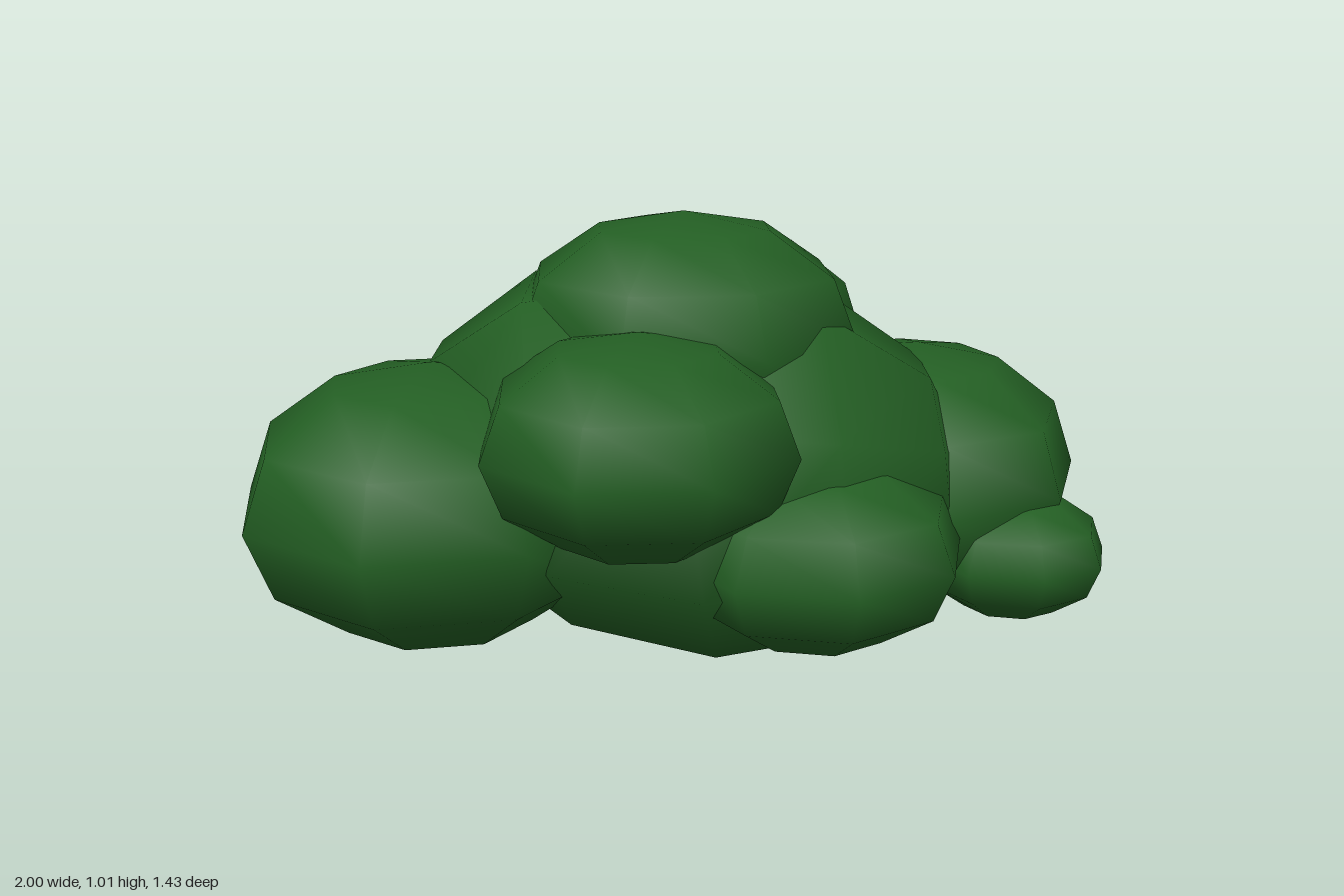
import * as THREE from 'three';

// name, centre, radii, yaw
const CLUMPS = [
  ['topFoliage', [0.01, 0.7, 0.045], [0.405, 0.27, 0.36], 0.45],
  ['frontUpperFoliage', [-0.085, 0.53, 0.38], [0.355, 0.24, 0.355], 0.46],
  ['backUpperFoliage', [0.09, 0.57, -0.33], [0.38, 0.305, 0.385], 0.12],
  ['rightFoliage', [-0.555, 0.33, 0.16], [0.45, 0.32, 0.44], -0.2],
  ['leftFoliage', [0.57, 0.315, -0.14], [0.4, 0.31, 0.42], 0.08],
  ['leftLowFoliage', [0.78, 0.175, 0.085], [0.222, 0.15, 0.2], 0.16],
  ['frontLowFoliage', [0.3, 0.268, 0.305], [0.335, 0.218, 0.32], 0.2],
  ['backLowFoliage', [-0.35, 0.24, -0.23], [0.345, 0.21, 0.335], -0.07],
];

export function createModel() {
  const bush = new THREE.Group();
  bush.name = 'bush';
  const leafGreen = new THREE.MeshStandardMaterial({ color: 0x235e23 });
  leafGreen.name = 'leafGreen';

  const addClump = (name, geometry) => {
    const clump = new THREE.Mesh(geometry, leafGreen);
    clump.name = name;
    bush.add(clump);
  };

  // Core: eight-sided ball lying on its side, resting on one flat face
  addClump('coreFoliage', new THREE.SphereGeometry(1, 8, 6)
    .rotateY(Math.PI / 8).rotateZ(-Math.PI / 2 + 0.23)
    .scale(0.66, 0.465, 0.55).rotateZ(-0.196).translate(0.03, 0.402, 0.01));

  // Upright squashed balls around the core
  for (const [name, centre, radii, yaw] of CLUMPS) {
    addClump(name, new THREE.SphereGeometry(1, 8, 6)
      .rotateY(yaw).scale(...radii).translate(...centre));
  }
  return bush;
}
